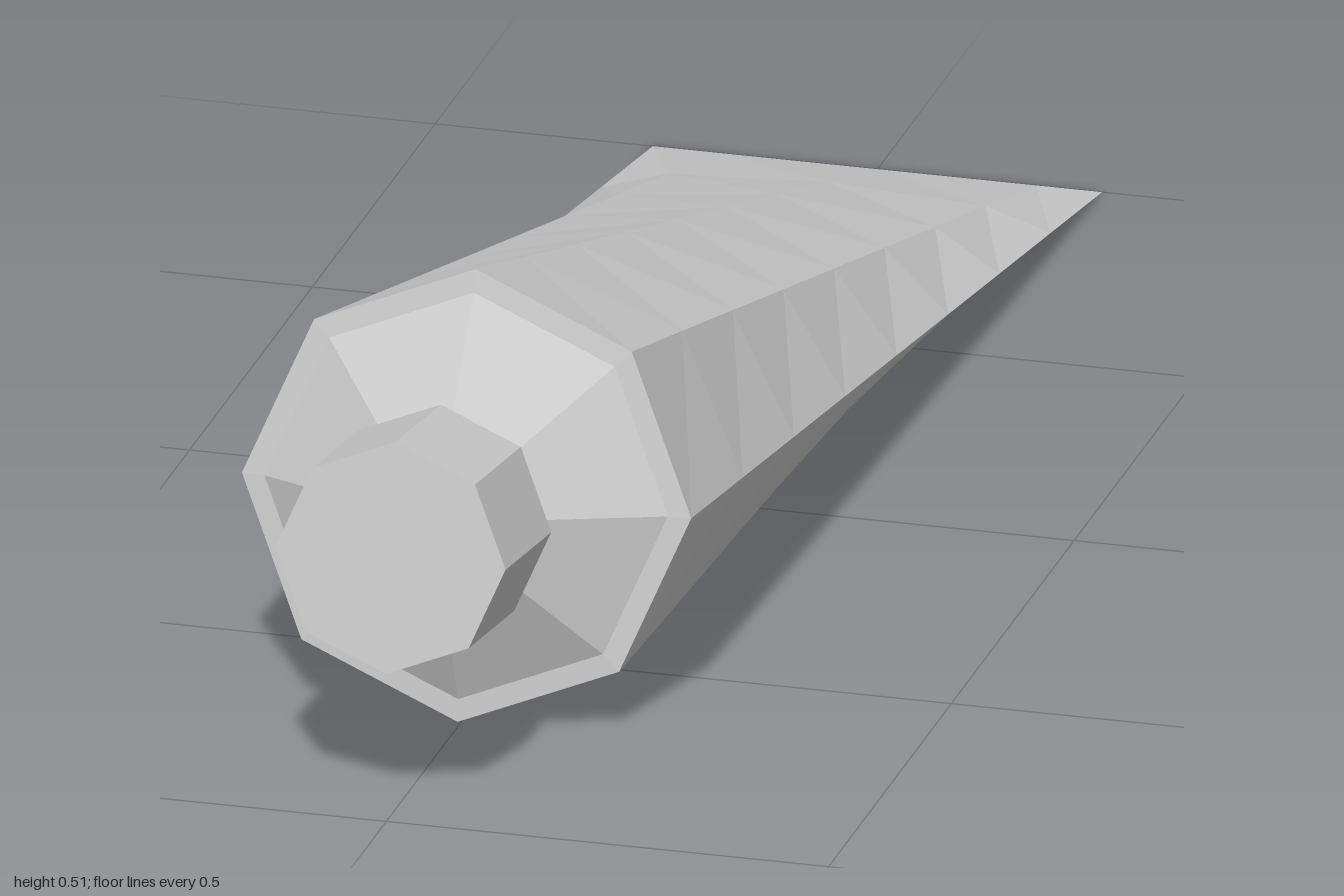
import * as THREE from 'three';

const SIDES = 8, RADIUS = 0.254, TILT = 0.144;
const CENTRE = new THREE.Vector3(0, 0.257, 0.673); // middle of the shoulder ring
const material = new THREE.MeshStandardMaterial({ color: 0xcccccc, flatShading: true, side: THREE.DoubleSide });

// Tube body: tilted octagon that flattens into a straight crimped tail
function bodyGeometry(steps = 8) {
  const positions = [], index = [];
  for (let k = 0; k <= steps; k++) {
    const t = k / steps;
    for (let j = 0; j < SIDES; j++) {
      const a = (j / SIDES) * Math.PI * 2;
      const up = Math.cos(a) * RADIUS;
      const y = CENTRE.y + up * Math.cos(TILT);
      const z = CENTRE.z - up * Math.sin(TILT);
      positions.push(Math.sin(a) * RADIUS, y * (1 - t), THREE.MathUtils.lerp(z, -1, t));
      if (k === steps) continue;
      const p = k * SIDES + j, q = k * SIDES + (j + 1) % SIDES;
      index.push(p, q, p + SIDES, q, q + SIDES, p + SIDES);
    }
  }
  const geometry = new THREE.BufferGeometry();
  geometry.setAttribute('position', new THREE.Float32BufferAttribute(positions, 3));
  geometry.setIndex(index);
  geometry.computeVertexNormals();
  return geometry;
}

// Eight-sided turned part along +z, from [radius, distance] pairs
function turned(name, profile) {
  const points = profile.map(([r, s]) => new THREE.Vector2(r, s));
  const mesh = new THREE.Mesh(new THREE.LatheGeometry(points, SIDES).rotateX(Math.PI / 2), material);
  mesh.name = name;
  return mesh;
}

export function createModel() {
  const model = new THREE.Group();
  model.name = 'squeezeTube';

  const body = new THREE.Mesh(bodyGeometry(), material);
  body.name = 'tubeBody';
  model.add(body);

  // Shoulder, neck and cap share the tilted axis of the open end
  const nozzle = new THREE.Group();
  nozzle.name = 'nozzle';
  nozzle.position.copy(CENTRE);
  nozzle.rotation.x = -TILT;
  nozzle.add(
    turned('shoulder', [[RADIUS, 0], [0.228, 0.002], [0.095, 0.082]]),
    turned('neck', [[0.095, 0.082], [0.095, 0.126]]),
    turned('cap', [[0, 0.125], [0.13, 0.125], [0.13, 0.313], [0, 0.313]])
  );
  model.add(nozzle);
  return model;
}
